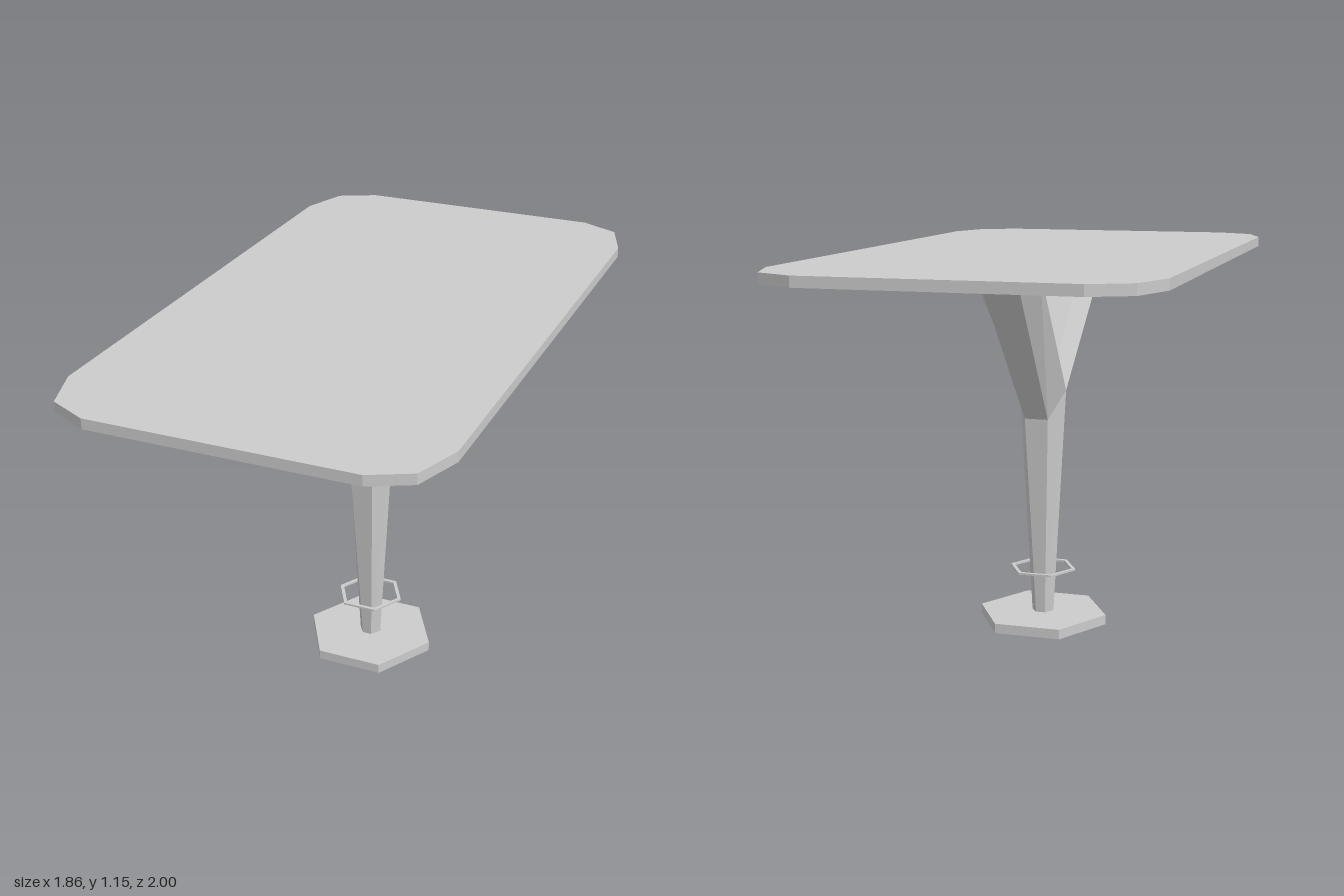
import * as THREE from 'three';

const material = new THREE.MeshStandardMaterial({ color: 0xcccccc, flatShading: true });
const openMaterial = new THREE.MeshStandardMaterial({ color: 0xcccccc, flatShading: true, side: THREE.DoubleSide });

function addPart(group, name, geometry, mat = material) {
  const mesh = new THREE.Mesh(geometry, mat);
  mesh.name = name;
  group.add(mesh);
  return mesh;
}

// Slab with corners clipped in two facets; one quadrant is mirrored to the rest
function tabletopGeometry() {
  const q = [[0.941, 0.374], [0.886, 0.487], [0.745, 0.536]];
  const r = [...q].reverse();
  const outline = [
    ...q,
    ...r.map(([x, y]) => [-x, y]),
    ...q.map(([x, y]) => [-x, -y]),
    ...r.map(([x, y]) => [x, -y]),
  ].map(([x, y]) => new THREE.Vector2(x, y));
  const geometry = new THREE.ExtrudeGeometry(new THREE.Shape(outline), { depth: 0.03, bevelEnabled: false });
  return geometry.rotateX(-Math.PI / 2).translate(0, 1.12, 0);
}

// Half of the forked post: three hexagonal sections (foot, fork, arm top).
// Each section lists its outer, middle and inner corners as [x, y, half width].
function postHalfGeometry() {
  const sections = [
    [[0.027, 0.01, 0.0135], [0, 0.01, 0.033], [0, 0.01, 0.0165]],
    [[0.072, 0.65, 0.036], [0, 0.73, 0.073], [0, 0.81, 0.04]],
    [[0.451, 1.122, 0.055], [0.367, 1.122, 0.1], [0.28, 1.122, 0.055]],
  ];
  const positions = [];
  for (const [outer, middle, inner] of sections) {
    const corners = [[outer, 1], [outer, -1], [middle, -1], [inner, -1], [inner, 1], [middle, 1]];
    for (const [[x, y, w], side] of corners) positions.push(x, y, side * w);
  }
  const index = [];
  for (let s = 0; s < 2; s++) {
    for (let i = 0; i < 6; i++) {
      if (s === 0 && i >= 2 && i <= 4) continue; // halves join here
      const j = (i + 1) % 6;
      const a = s * 6 + i, b = s * 6 + j;
      index.push(a, b, b + 6, a, b + 6, a + 6);
    }
  }
  const geometry = new THREE.BufferGeometry();
  geometry.setAttribute('position', new THREE.Float32BufferAttribute(positions, 3));
  geometry.setIndex(index);
  const flat = geometry.toNonIndexed();
  flat.computeVertexNormals();
  return flat;
}

export function createModel() {
  const table = new THREE.Group();
  table.name = 'table';

  addPart(table, 'tabletop', tabletopGeometry());

  // Forked post, the second half turned around
  const half = postHalfGeometry();
  addPart(table, 'postRightArm', half);
  addPart(table, 'postLeftArm', half).rotation.y = Math.PI;

  // Hexagonal foot plate
  addPart(table, 'footPlate', new THREE.CylinderGeometry(0.202, 0.202, 0.03, 6).translate(0, 0.015, 0));

  // Thin hexagonal ring around the post
  const profile = [[0.092, 0.165], [0.104, 0.165], [0.104, 0.171], [0.092, 0.171], [0.092, 0.165]];
  const ring = new THREE.LatheGeometry(profile.map(([x, y]) => new THREE.Vector2(x, y)), 6);
  addPart(table, 'footRing', ring, openMaterial);

  // The whole table stands diagonally
  table.rotation.y = 0.908;
  const model = new THREE.Group();
  model.name = 'pedestalTable';
  model.add(table);
  return model;
}
